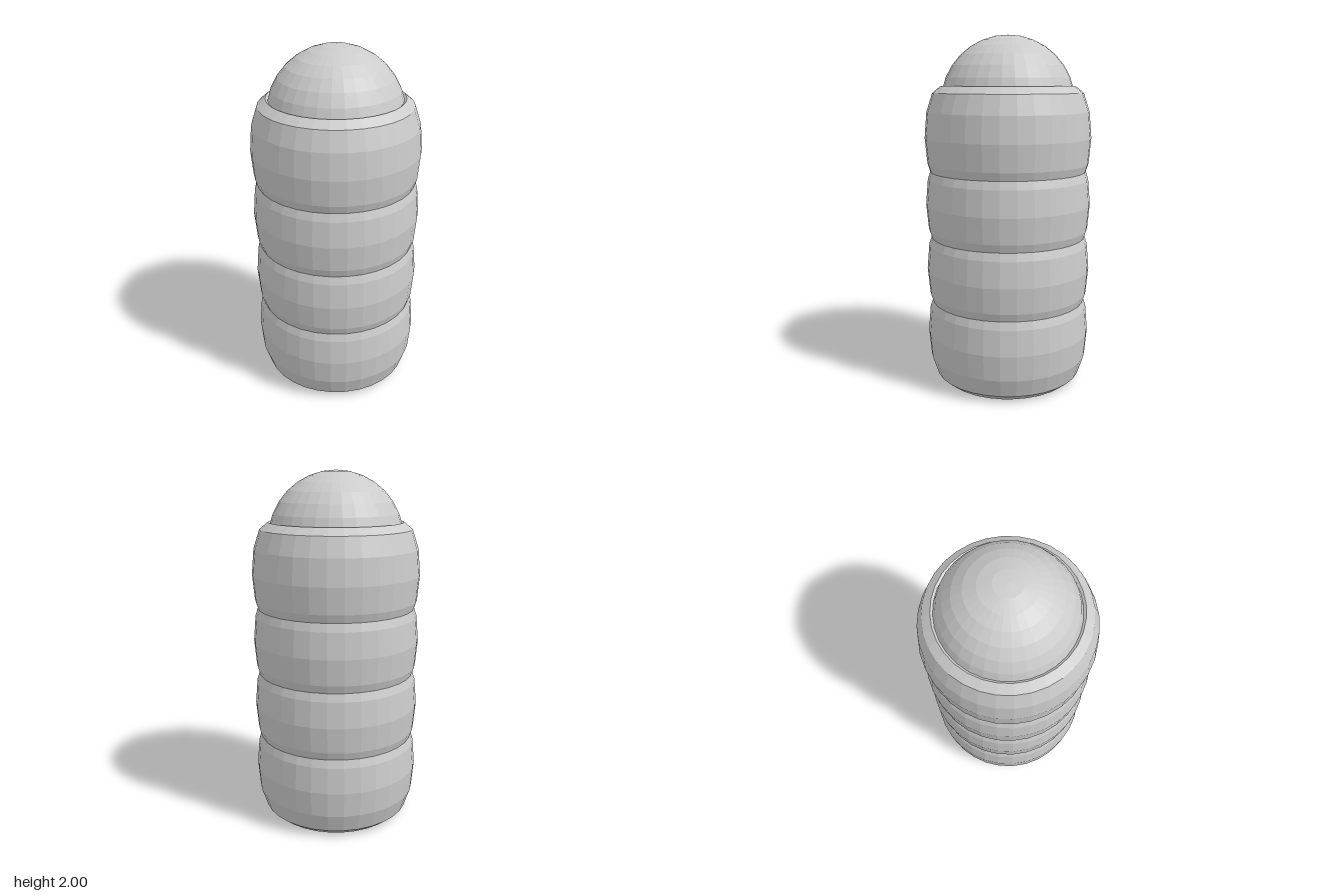
import * as THREE from 'three';

const RING_RADIUS = 0.38;   // centre line of each ring
const TUBE_WIDTH = 0.095;   // half thickness of a ring, sideways
const TUBE_HEIGHT = 0.29;   // half height of a ring
const SPACING = 0.38;

export function createModel() {
  const group = new THREE.Group();
  group.name = 'ringStack';
  const material = new THREE.MeshStandardMaterial({ color: 0xcccccc, flatShading: true });

  // Tall, overlapping rings forming a hollow body
  const ringGeometry = new THREE.TorusGeometry(RING_RADIUS, TUBE_WIDTH, 12, 32);
  ringGeometry.rotateX(-Math.PI / 2);
  ringGeometry.scale(1, TUBE_HEIGHT / TUBE_WIDTH, 1);
  for (let i = 0; i < 4; i++) {
    const ring = new THREE.Mesh(ringGeometry, material);
    ring.name = `bodyRing${i + 1}`;
    ring.position.y = TUBE_HEIGHT + i * SPACING;
    group.add(ring);
  }

  // Ball seated in the top ring
  const ball = new THREE.Mesh(new THREE.SphereGeometry(0.38, 32, 16), material);
  ball.name = 'topBall';
  ball.position.y = 1.62;
  group.add(ball);

  return group;
}
